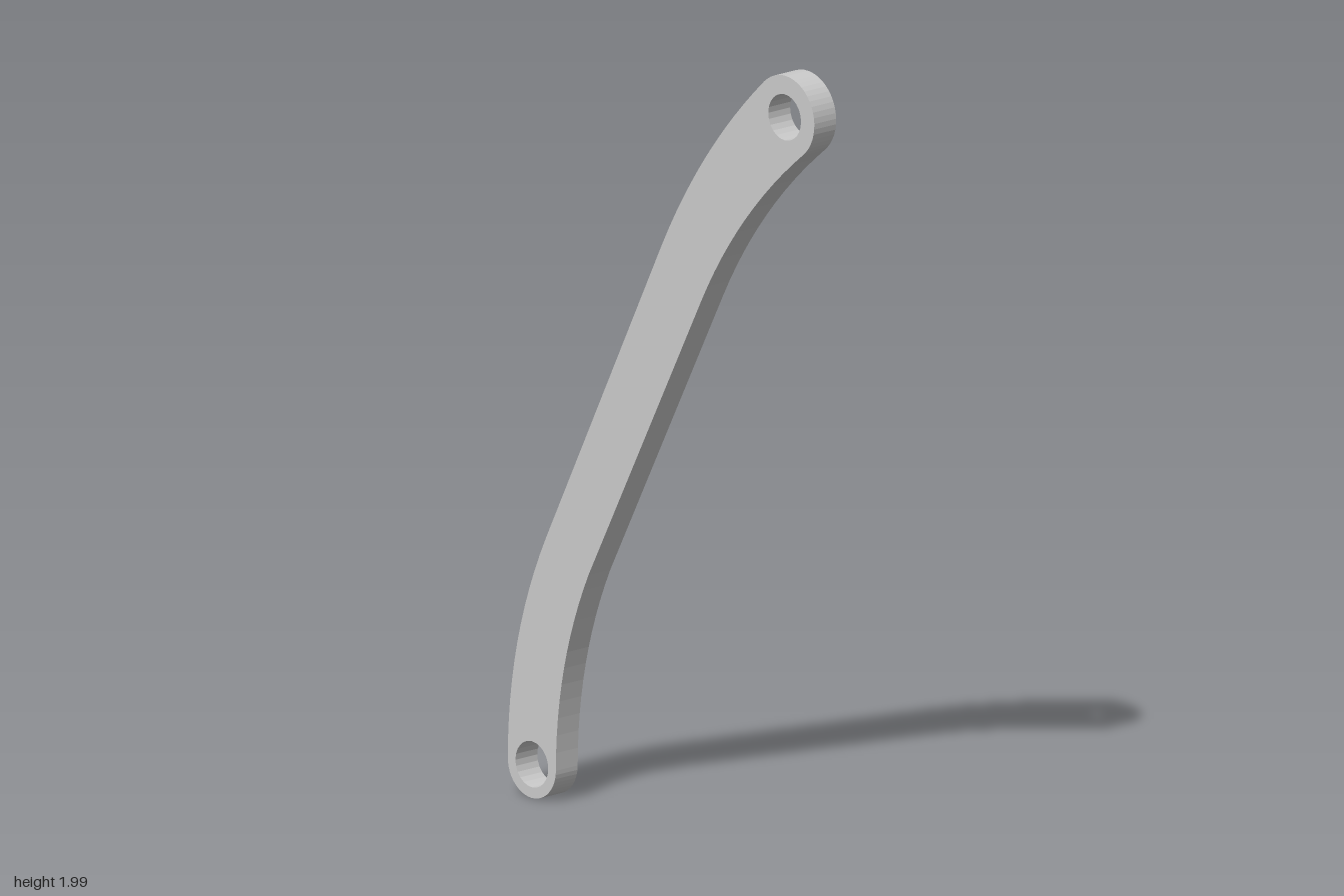
import * as THREE from 'three';

const DEPTH = 0.073;
const LOW = { x: -0.46, y: 0.09, r: 0.085 };    // lower eye
const HIGH = { x: 0.435, y: 1.895, r: 0.105 };  // upper eye
const HOLE_RADIUS = 0.058;

// Closed outline: bent bar with a rounded end at each eye
function linkOutline() {
  const deg = Math.PI / 180;
  const s = new THREE.Shape();
  s.moveTo(LOW.x - LOW.r, LOW.y);
  s.quadraticCurveTo(-0.545, 0.396, -0.41, 0.67);   // outer lower bend
  s.lineTo(0, 1.488);
  s.quadraticCurveTo(0.14, 1.764, 0.363, 1.972);    // outer upper bend
  s.absarc(HIGH.x, HIGH.y, HIGH.r, 133 * deg, -52 * deg, true);
  s.quadraticCurveTo(0.271, 1.627, 0.14, 1.375);    // inner upper bend
  s.lineTo(-0.26, 0.605);
  s.quadraticCurveTo(-0.375, 0.36, LOW.x + LOW.r, LOW.y); // inner lower bend
  s.absarc(LOW.x, LOW.y, LOW.r, 0, -Math.PI, true);

  // Pin holes through both eyes
  for (const eye of [LOW, HIGH]) {
    s.holes.push(new THREE.Path().absarc(eye.x, eye.y, HOLE_RADIUS, 0, Math.PI * 2, false));
  }
  return s;
}

export function createModel() {
  const group = new THREE.Group();
  group.name = 'bentLink';

  const geometry = new THREE.ExtrudeGeometry(linkOutline(), {
    depth: DEPTH, bevelEnabled: false, curveSegments: 12,
  });
  geometry.translate(0, 0, -DEPTH / 2);

  const bar = new THREE.Mesh(
    geometry,
    new THREE.MeshStandardMaterial({ color: 0xcccccc, flatShading: true }),
  );
  bar.name = 'linkBar';
  group.add(bar);
  return group;
}
